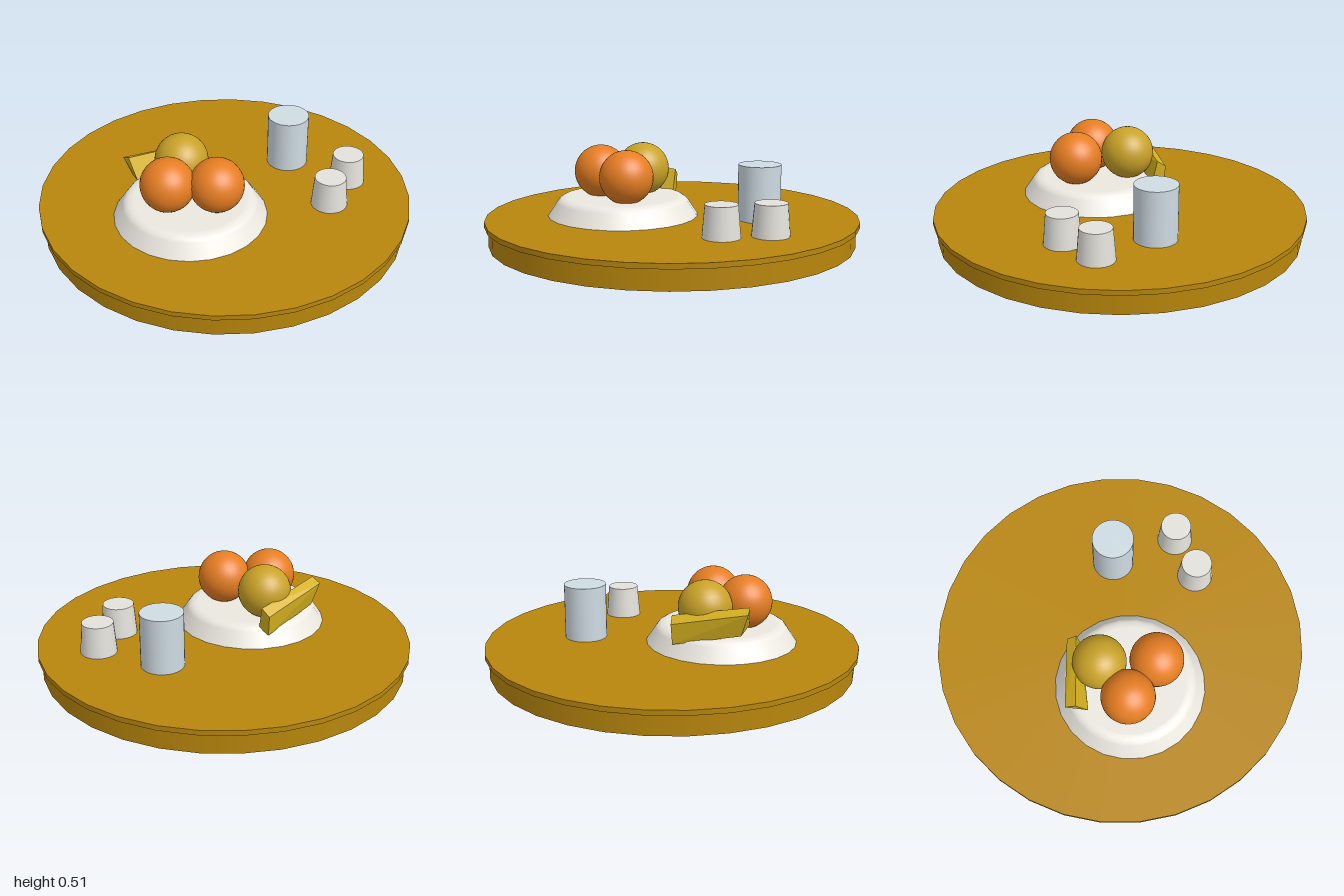
import * as THREE from 'three';
import { ConvexGeometry } from 'three/addons/geometries/ConvexGeometry.js';

const paint = (color, flatShading = false) =>
  new THREE.MeshStandardMaterial({ color, flatShading });

export function createModel() {
  const model = new THREE.Group();
  const wood = paint(0xb8860b), china = paint(0xebe8e0), cupMat = paint(0xe4e2dc);
  const orange = paint(0xe67e22), yellow = paint(0xc9a227), cheese = paint(0xd4b020, true);

  const add = (name, geometry, material, x = 0, y = 0, z = 0) => {
    const mesh = new THREE.Mesh(geometry, material);
    mesh.name = name;
    mesh.position.set(x, y, z);
    model.add(mesh);
    return mesh;
  };
  // Upright cylinder or cone standing between two heights
  const drum = (name, rTop, rBottom, y0, y1, sides, material, x = 0, z = 0) =>
    add(name, new THREE.CylinderGeometry(rTop, rBottom, y1 - y0, sides), material, x, (y0 + y1) / 2, z);

  // Round board: a thick base under a thin, slightly wider top
  drum('boardBase', 0.98, 0.98, 0, 0.108, 32, wood);
  drum('boardTop', 1, 1, 0.108, 0.135, 32, wood);

  // Plate with sloping sides, a softened shoulder and a flat top
  const plateProfile = [
    [0, 0], [0.405, 0], [0.405, 0], [0.355, 0.075], [0.345, 0.088],
    [0.325, 0.1], [0.3, 0.102], [0.3, 0.102], [0, 0.102],
  ].map(([r, y]) => new THREE.Vector2(r, y));
  add('plate', new THREE.LatheGeometry(plateProfile, 24), china, -0.255, 0.135, 0.08);

  // Three round fruits
  for (const [name, material, x, z] of [
    ['orangeFruitBack', orange, -0.385, 0.08],
    ['orangeFruitFront', orange, -0.17, 0.21],
    ['yellowFruit', yellow, -0.212, -0.087],
  ]) add(name, new THREE.SphereGeometry(0.143, 32, 20), material, x, 0.363, z);

  // Tilted wedge leaning on the fruit: one four-cornered section per end
  const wedgeCorners = [
    [-0.44, 0.265, -0.215], [-0.48, 0.385, -0.235], [-0.475, 0.41, -0.18], [-0.46, 0.3, -0.12],
    [-0.09, 0.2, -0.265], [-0.085, 0.31, -0.275], [-0.075, 0.345, -0.225], [-0.08, 0.225, -0.2],
  ].map((p) => new THREE.Vector3(...p));
  add('wedge', new ConvexGeometry(wedgeCorners), cheese);

  // Tall container and two tapered cups
  drum('tallContainer', 0.113, 0.113, 0.135, 0.43, 32, paint(0xcfdce3), 0.465, -0.085);
  [[0.425, 0.38], [0.637, 0.25]].forEach(([x, z], i) =>
    drum(`cup${i + 1}`, 0.083, 0.097, 0.135, 0.302, 24, cupMat, x, z));

  return model;
}
